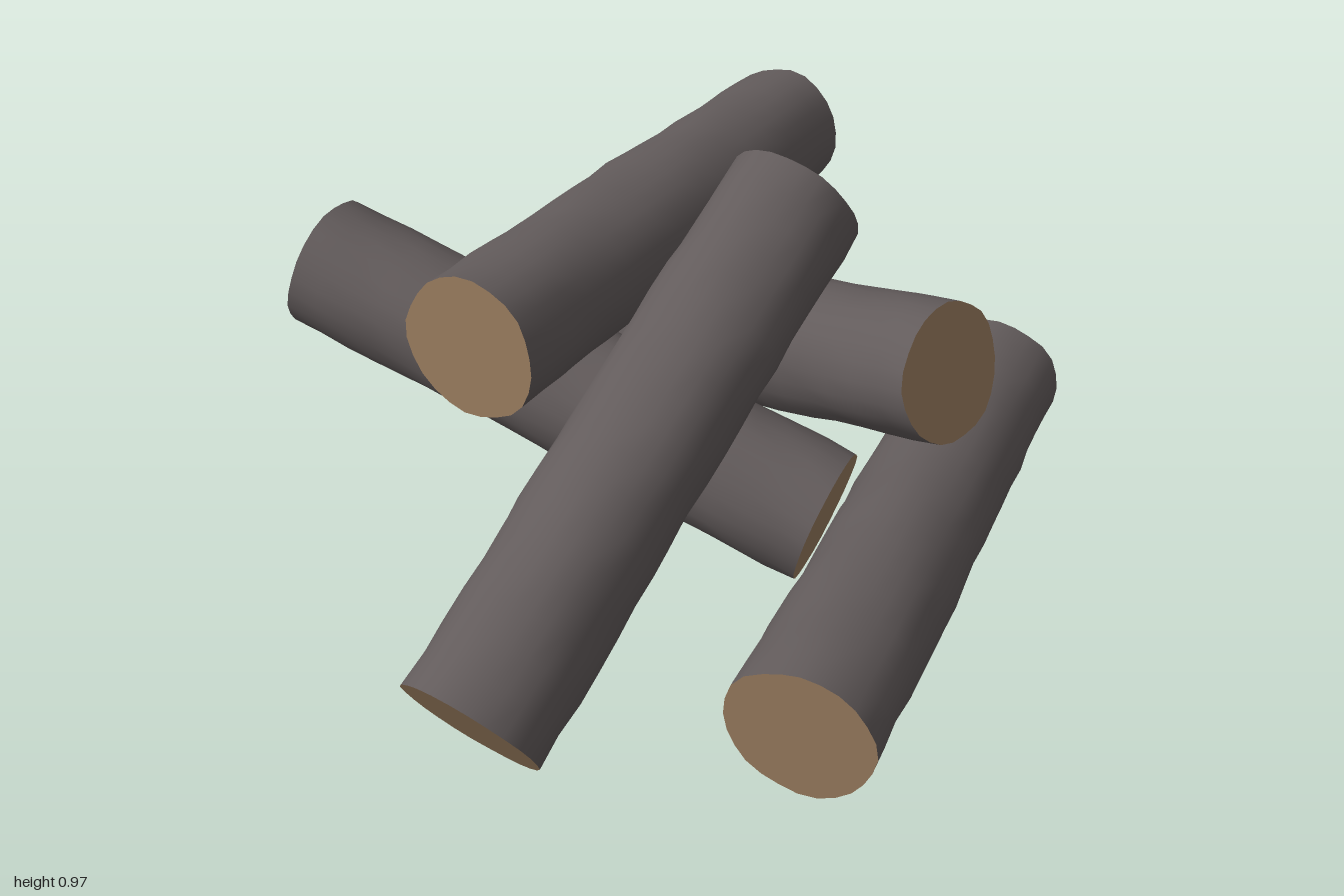
import * as THREE from 'three';

const RADIUS = 0.167, SIDES = 24, RINGS = 18;

// Lumpy bark: a gentle radius change around and along the log
function lump(angle, y, seed) {
  return 0.0025 * Math.sin(3 * angle + 5 * y + seed)
    + 0.002 * Math.sin(5 * angle - 11 * y + 2.3 * seed)
    + 0.0018 * Math.sin(2 * angle + 23 * y + 4.1 * seed)
    + 0.0012 * Math.sin(8 * angle + 37 * y + 1.7 * seed);
}

function logGeometry(length, seed) {
  const geo = new THREE.CylinderGeometry(RADIUS, RADIUS, length, SIDES, RINGS);
  const pos = geo.attributes.position;
  for (let i = 0; i < pos.count; i++) {
    const x = pos.getX(i), y = pos.getY(i), z = pos.getZ(i);
    if (Math.hypot(x, z) < 0.01) continue; // cap centres stay put
    const a = Math.atan2(z, x);
    const k = 1 + lump(a, y, seed) / RADIUS;
    pos.setXYZ(i, x * k, y, z * k);
  }
  geo.computeVertexNormals();
  // Blend the normals across the seam
  const n = geo.attributes.normal;
  const p = new THREE.Vector3(), q = new THREE.Vector3();
  for (let r = 0; r <= RINGS; r++) {
    const i = r * (SIDES + 1), j = i + SIDES;
    p.fromBufferAttribute(n, i).add(q.fromBufferAttribute(n, j)).normalize();
    n.setXYZ(i, p.x, p.y, p.z);
    n.setXYZ(j, p.x, p.y, p.z);
  }
  return geo;
}

export function createModel() {
  const bark = new THREE.MeshStandardMaterial({ color: 0x625b5b });
  bark.name = 'bark';
  const cutWood = new THREE.MeshStandardMaterial({ color: 0x9c7e60 });
  cutWood.name = 'cut wood';

  // Each log runs between the centres of its two cut ends
  const logs = [
    ['groundLog', [-0.19, 0.178, 0.88], [0.795, 0.178, -0.12]],
    ['frontLeaningLog', [-0.805, 0.163, 0.6], [0.208, 0.828, -0.115]],
    ['topLog', [-0.625, 0.728, 0.075], [0.465, 0.64, -0.798]],
    ['sideLeaningLog', [0.15, 0.17, 0.245], [-0.8, 0.54, -0.715]],
    ['backLeaningLog', [-0.17, 0.17, -0.925], [0.42, 0.55, 0.305]],
  ];

  const group = new THREE.Group();
  group.name = 'logPile';
  const up = new THREE.Vector3(0, 1, 0);
  logs.forEach(([name, from, to], i) => {
    const a = new THREE.Vector3(...from), b = new THREE.Vector3(...to);
    const axis = b.clone().sub(a);
    // Geometry groups: side, then the two cut ends
    const log = new THREE.Mesh(logGeometry(axis.length(), 1 + i * 1.9), [bark, cutWood, cutWood]);
    log.name = name;
    log.position.copy(a).add(b).multiplyScalar(0.5);
    log.quaternion.setFromUnitVectors(up, axis.normalize());
    group.add(log);
  });
  return group;
}
